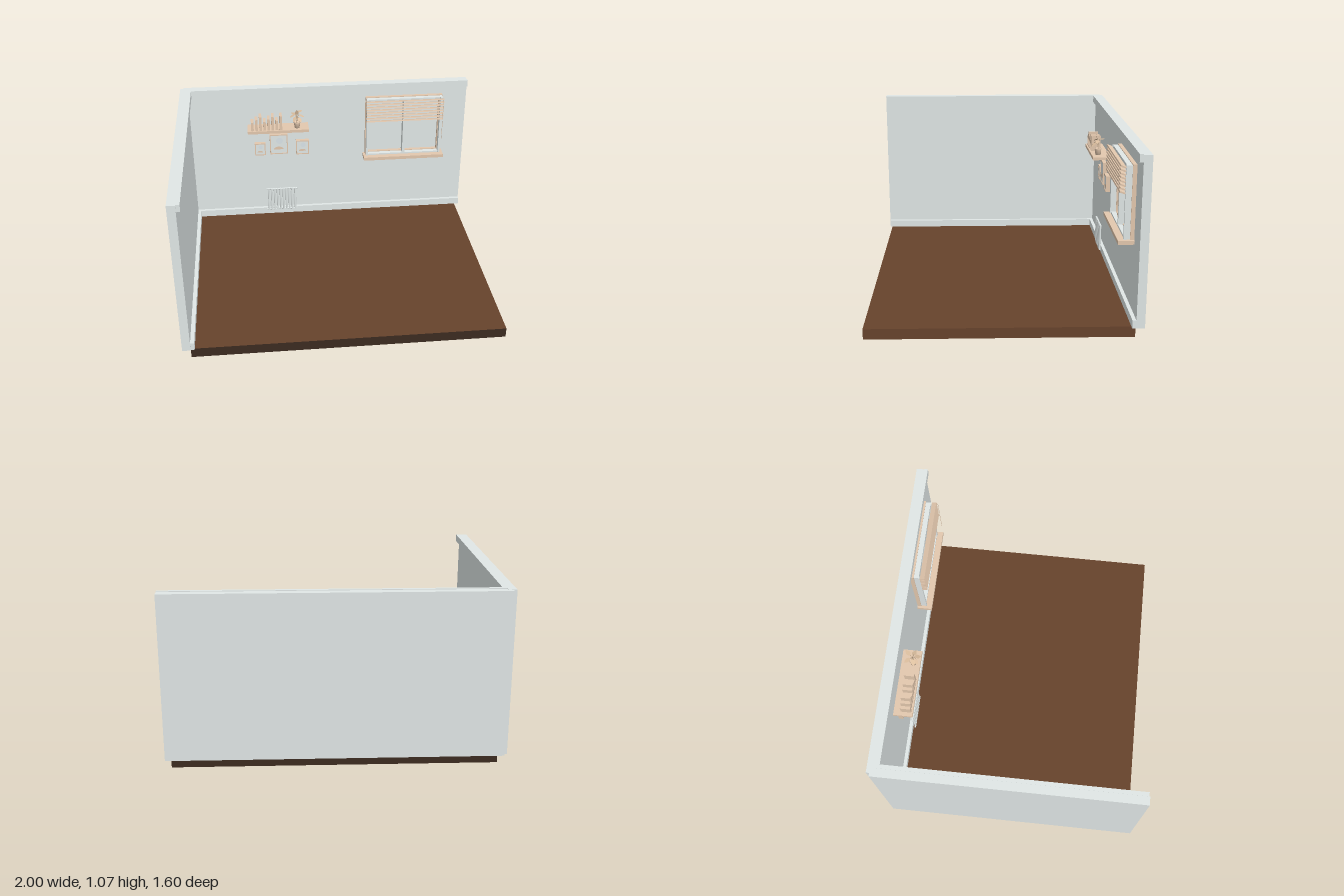
import * as THREE from 'three';

const mat = (name, color, side = THREE.FrontSide) => {
  const m = new THREE.MeshStandardMaterial({ color, side });
  m.name = name;
  return m;
};

export function createModel() {
  const wall = mat('pale grey paint', 0xe2e9e8);
  const wood = mat('beige wood', 0xe3c8ae);
  const leafy = mat('beige leaf', 0xdcbf9f, THREE.DoubleSide);
  const floorTop = mat('brown floor', 0x67432c);
  const floorBase = mat('dark brown base', 0x3c2b20);
  const paper = mat('pale blue paper', 0xe4eef2);

  const root = new THREE.Group();
  root.name = 'roomCorner';
  const group = (name) => {
    const g = new THREE.Group();
    g.name = name;
    root.add(g);
    return g;
  };
  const add = (parent, name, geo, material, x = 0, y = 0, z = 0) => {
    const m = new THREE.Mesh(geo, material);
    m.name = name;
    m.position.set(x, y, z);
    parent.add(m);
    return m;
  };
  // Box given by its limits on each axis
  const box = (parent, name, material, x0, x1, y0, y1, z0, z1) =>
    add(parent, name, new THREE.BoxGeometry(x1 - x0, y1 - y0, z1 - z0), material,
      (x0 + x1) / 2, (y0 + y1) / 2, (z0 + z1) / 2);

  // Floor: brown on top, underneath and on the open right edge, dark elsewhere
  box(root, 'floor', [floorTop, floorBase, floorTop, floorTop, floorBase, floorBase],
    -0.95, 0.97, 0, 0.063, -0.752, 0.784);

  // Two walls with a small notch at the outer corner, skirting and cornice
  const walls = group('walls');
  box(walls, 'backWall', wall, -0.98, 1, 0.064, 1.062, -0.8, -0.75);
  box(walls, 'leftWall', wall, -1, -0.95, 0.064, 1.064, -0.78, 0.8);
  for (const [name, y0, y1] of [['skirting', 0.064, 0.112], ['cornice', 1.02, 1.066]]) {
    box(walls, name + 'Back', wall, -0.95, 1, y0, y1, -0.75, -0.728);
    box(walls, name + 'Left', wall, -0.95, -0.926, y0, y1, -0.75, 0.795);
  }

  // Window: beige casing on the wall, pale sash in front, beige sill
  const win = group('window');
  box(win, 'casingTop', wood, 0.28, 0.826, 0.945, 0.967, -0.75, -0.726);
  box(win, 'casingBottom', wood, 0.28, 0.826, 0.522, 0.545, -0.75, -0.726);
  for (const [x0, x1] of [[0.28, 0.304], [0.802, 0.826]]) {
    box(win, 'casingSide', wood, x0, x1, 0.545, 0.945, -0.75, -0.726);
    box(win, 'sashSide', wall, x0 + 0.005, x1 - 0.005, 0.529, 0.962, -0.726, -0.69);
  }
  box(win, 'sashTop', wall, 0.299, 0.807, 0.942, 0.962, -0.726, -0.695);
  box(win, 'sashBottom', wall, 0.299, 0.807, 0.529, 0.54, -0.726, -0.695);
  box(win, 'mullion', wall, 0.547, 0.565, 0.54, 0.942, -0.75, -0.698);
  box(win, 'sill', wood, 0.266, 0.842, 0.506, 0.529, -0.75, -0.655);

  // Venetian blind: thick slats tilted slightly upwards, and pull cord
  const blind = group('blind');
  for (let i = 0; i < 8; i++) {
    const slat = box(blind, 'slat', wood, 0.28, 0.826, -0.0045, 0.0045, -0.016, 0.016);
    slat.position.set(0.553, 0.806 + i * 0.0212, -0.673);
    slat.rotation.x = -0.35;
  }
  add(blind, 'cord', new THREE.CylinderGeometry(0.0015, 0.0015, 0.3, 6), wood, 0.82, 0.81, -0.65);

  // Shelf with a row of books
  const shelf = group('shelf');
  box(shelf, 'board', wood, -0.555, -0.128, 0.766, 0.786, -0.75, -0.632);
  [0.065, 0.083, 0.103, 0.068, 0.086, 0.103, 0.07, 0.103].forEach((h, i) => {
    const x = -0.53 + i * 0.0283;
    box(shelf, 'book', wood, x, x + 0.018, 0.786, 0.786 + h, -0.705, -0.642);
  });

  // Potted plant with broad drooping leaves
  const plant = group('plant');
  plant.position.set(-0.209, 0.786, -0.675);
  const potProfile = [[0, 0], [0.018, 0], [0.021, 0.036], [0.023, 0.036], [0.023, 0.044], [0.018, 0.044], [0.018, 0.036], [0, 0.036]];
  add(plant, 'pot', new THREE.LatheGeometry(potProfile.map((p) => new THREE.Vector2(...p)), 16), wood);
  const leafShape = new THREE.Shape();
  leafShape.moveTo(0, 0);
  leafShape.bezierCurveTo(0.024, 0.008, 0.018, 0.034, 0, 0.052);
  leafShape.bezierCurveTo(-0.018, 0.034, -0.024, 0.008, 0, 0);
  const leafGeo = new THREE.ShapeGeometry(leafShape, 5);
  // Each leaf: heading round the pot, reach, stem height, lean from upright
  const leaves = [[0, 0.006, 0.098, 0.25], [1.2, 0.014, 0.1, 1.9], [-1.2, 0.014, 0.104, 2.0],
    [0.5, 0.02, 0.085, 2.2], [-0.6, 0.018, 0.09, 2.4], [2.4, 0.012, 0.11, 1.5], [-2.4, 0.012, 0.1, 1.7]];
  for (const [heading, reach, h, lean] of leaves) {
    const tip = new THREE.Vector3(Math.sin(heading) * reach, h, Math.cos(heading) * reach);
    const stem = new THREE.QuadraticBezierCurve3(new THREE.Vector3(0, 0.035, 0), new THREE.Vector3(0, h * 0.8, 0), tip);
    add(plant, 'stem', new THREE.TubeGeometry(stem, 4, 0.0016, 5), leafy);
    const leaf = add(plant, 'leaf', leafGeo, leafy, tip.x, tip.y, tip.z);
    leaf.rotation.set(lean, heading, 0, 'YXZ');
    leaf.scale.setScalar(0.85);
  }

  // Three framed pictures: border, paper, sun disc and hills
  const pictures = group('pictures');
  for (const [x0, x1, y0, y1] of [[-0.511, -0.435, 0.553, 0.646], [-0.403, -0.276, 0.558, 0.71], [-0.217, -0.124, 0.548, 0.656]]) {
    const w = x1 - x0, h = y1 - y0, t = 0.007, cx = (x0 + x1) / 2;
    box(pictures, 'frameLeft', wood, x0, x0 + t, y0, y1, -0.75, -0.722);
    box(pictures, 'frameRight', wood, x1 - t, x1, y0, y1, -0.75, -0.722);
    box(pictures, 'frameTop', wood, x0 + t, x1 - t, y1 - t, y1, -0.75, -0.722);
    box(pictures, 'frameBottom', wood, x0 + t, x1 - t, y0, y0 + t, -0.75, -0.722);
    box(pictures, 'paper', wall, x0 + t, x1 - t, y0 + t, y1 - t, -0.75, -0.725);
    add(pictures, 'sun', new THREE.CircleGeometry(w * 0.19, 20), paper, cx + w * 0.04, y0 + h * 0.68, -0.724);
    const hill = add(pictures, 'hill', new THREE.CircleGeometry(w * 0.28, 16, 0, Math.PI), wood, cx - w * 0.02, y0 + h * 0.24, -0.7235);
    hill.scale.y = 0.6;
  }

  // Column radiator
  const radiator = group('radiator');
  const column = new THREE.CylinderGeometry(0.0072, 0.0072, 0.176, 10);
  for (let i = 0; i < 10; i++) {
    add(radiator, 'column', column, wall, -0.426 + i * 0.0214, 0.195, -0.71);
  }
  for (const y of [0.112, 0.279]) {
    const pipe = add(radiator, 'header', new THREE.CylinderGeometry(0.0055, 0.0055, 0.225, 10), wall, -0.33, y, -0.71);
    pipe.rotation.z = Math.PI / 2;
  }
  return root;
}
